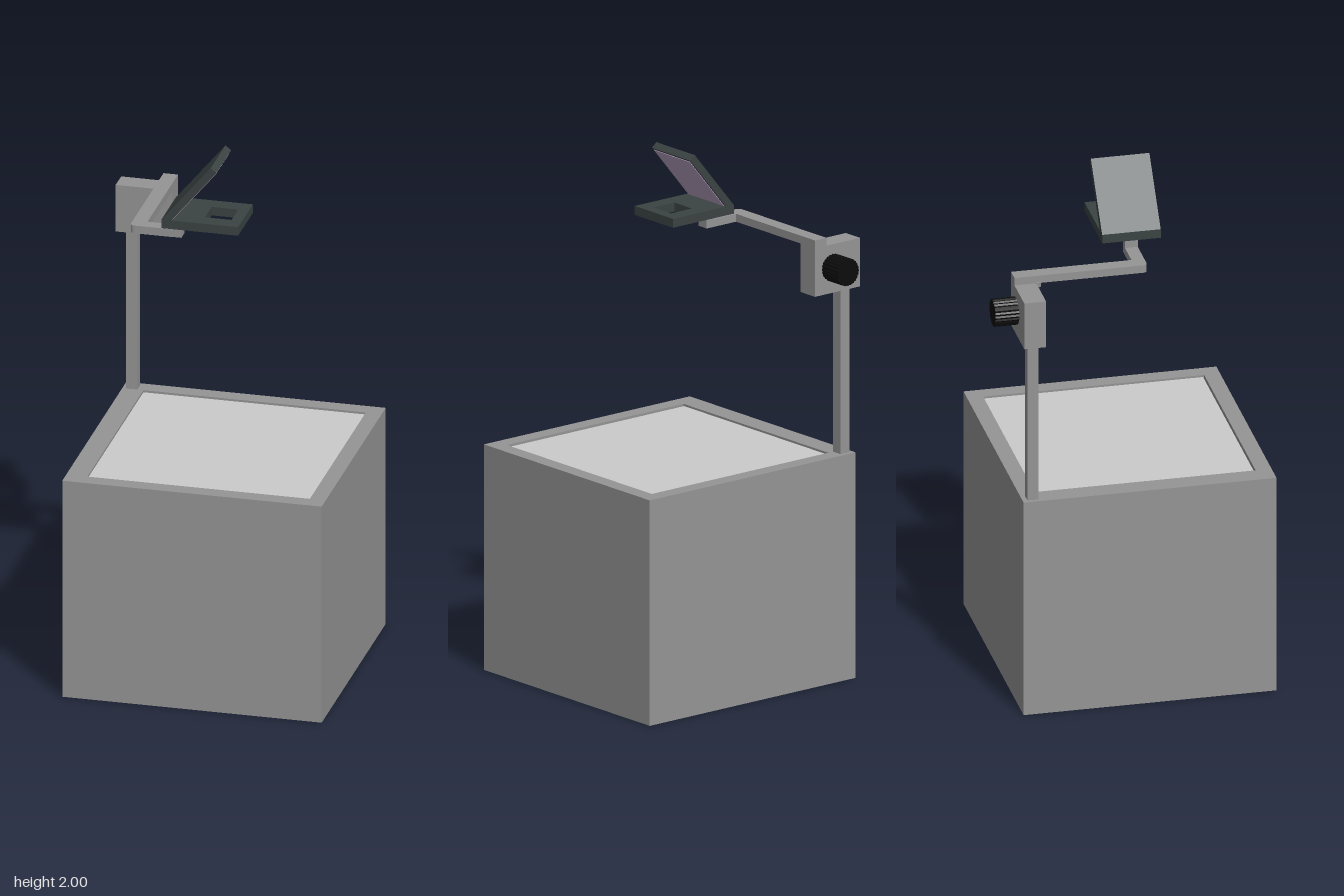
import * as THREE from 'three';

const material = (color) => new THREE.MeshStandardMaterial({ color });
const grey = material(0x959595);
const pale = material(0xcccccc);
const dark = material(0x3b4343);
const black = material(0x0c0c0c);
const lilac = material(0xb9a3c3);

function add(parent, name, geometry, mat) {
  const mesh = new THREE.Mesh(geometry, mat);
  mesh.name = name;
  parent.add(mesh);
  return mesh;
}

// Box given by its extents on each axis
function block([x0, x1], [y0, y1], [z0, z1]) {
  return new THREE.BoxGeometry(x1 - x0, y1 - y0, z1 - z0)
    .translate((x0 + x1) / 2, (y0 + y1) / 2, (z0 + z1) / 2);
}

// Rectangle outline in plan (x, z)
function rectangle(Type, [x0, x1], [z0, z1]) {
  const path = new Type();
  path.moveTo(x0, z0).lineTo(x1, z0).lineTo(x1, z1).lineTo(x0, z1).closePath();
  return path;
}

// Extrudes a plan shape (x, z) between two heights
function slab(shape, [y0, y1]) {
  return new THREE.ExtrudeGeometry(shape, { depth: y1 - y0, bevelEnabled: false, curveSegments: 4 })
    .rotateX(Math.PI / 2)
    .translate(0, y1, 0);
}

function frame(outerX, outerZ, innerX, innerZ, height) {
  const shape = rectangle(THREE.Shape, outerX, outerZ);
  shape.holes.push(rectangle(THREE.Path, innerX, innerZ));
  return slab(shape, height);
}

export function createModel() {
  const model = new THREE.Group();
  model.name = 'overheadProjector';

  // Light box: walls with an open top, base and glass stage just below the rim
  const bodyX = [-0.48, 0.5], bodyZ = [-0.43, 0.52];
  add(model, 'housing', frame(bodyX, bodyZ, [-0.4, 0.44], [-0.37, 0.46], [0.006, 0.86]), grey);
  add(model, 'base', block(bodyX, [0, 0.006], bodyZ), grey);
  add(model, 'stage', block([-0.4, 0.44], [0.81, 0.852], [-0.37, 0.456]), pale);

  // Column and focusing head
  add(model, 'column', block([-0.465, -0.423], [0.85, 1.5], [-0.412, -0.37]), grey);
  add(model, 'focusHead', block([-0.5, -0.285], [1.49, 1.675], [-0.432, -0.35]), grey);

  // Ribbed focus knob on the back of the head
  const ribs = new THREE.Shape();
  for (let i = 0; i < 48; i++) {
    const a = (i / 48) * Math.PI * 2, r = i % 2 ? 0.049 : 0.052;
    ribs[i ? 'lineTo' : 'moveTo'](r * Math.cos(a), r * Math.sin(a));
  }
  const knob = new THREE.ExtrudeGeometry(ribs, { depth: 0.09, bevelEnabled: false });
  add(model, 'focusKnob', knob.translate(-0.369, 1.587, -0.521), black);

  // Cranked arm with a rounded elbow, reaching forward and then inward
  const arm = new THREE.Shape();
  arm.moveTo(-0.34, -0.432).lineTo(-0.285, -0.432).lineTo(-0.285, 0.02).lineTo(-0.145, 0.02)
    .lineTo(-0.145, 0.068).lineTo(-0.322, 0.068)
    .quadraticCurveTo(-0.34, 0.068, -0.34, 0.05).closePath();
  add(model, 'arm', slab(arm, [1.675, 1.705]), grey);
  add(model, 'armRiser', block([-0.18, -0.145], [1.7, 1.745], [0.02, 0.068]), grey);

  // Small gusset where the arm leaves the head
  const gusset = new THREE.Shape();
  gusset.moveTo(-0.355, -0.35).lineTo(-0.32, -0.35).lineTo(-0.32, -0.332)
    .lineTo(-0.338, -0.332).closePath();
  add(model, 'armGusset', slab(gusset, [1.66, 1.68]), grey);

  // Lens frame with its opening
  add(model, 'lensFrame',
    frame([-0.2, 0.09], [-0.07, 0.15], [-0.05, 0.05], [-0.01, 0.09], [1.742, 1.776]), dark);

  // Tilted mirror, hinged on the frame's outer edge; the reflecting face looks down
  const mirror = new THREE.Group();
  mirror.name = 'mirror';
  add(mirror, 'mirrorBack', block([0, 0.293], [-0.028, 0], [-0.07, 0.15]), dark);
  add(mirror, 'mirrorGlass', block([0.02, 0.285], [-0.03, -0.02], [-0.062, 0.142]), lilac);
  mirror.position.set(-0.2, 1.774, 0);
  mirror.rotation.z = THREE.MathUtils.degToRad(50.5);
  model.add(mirror);

  return model;
}
